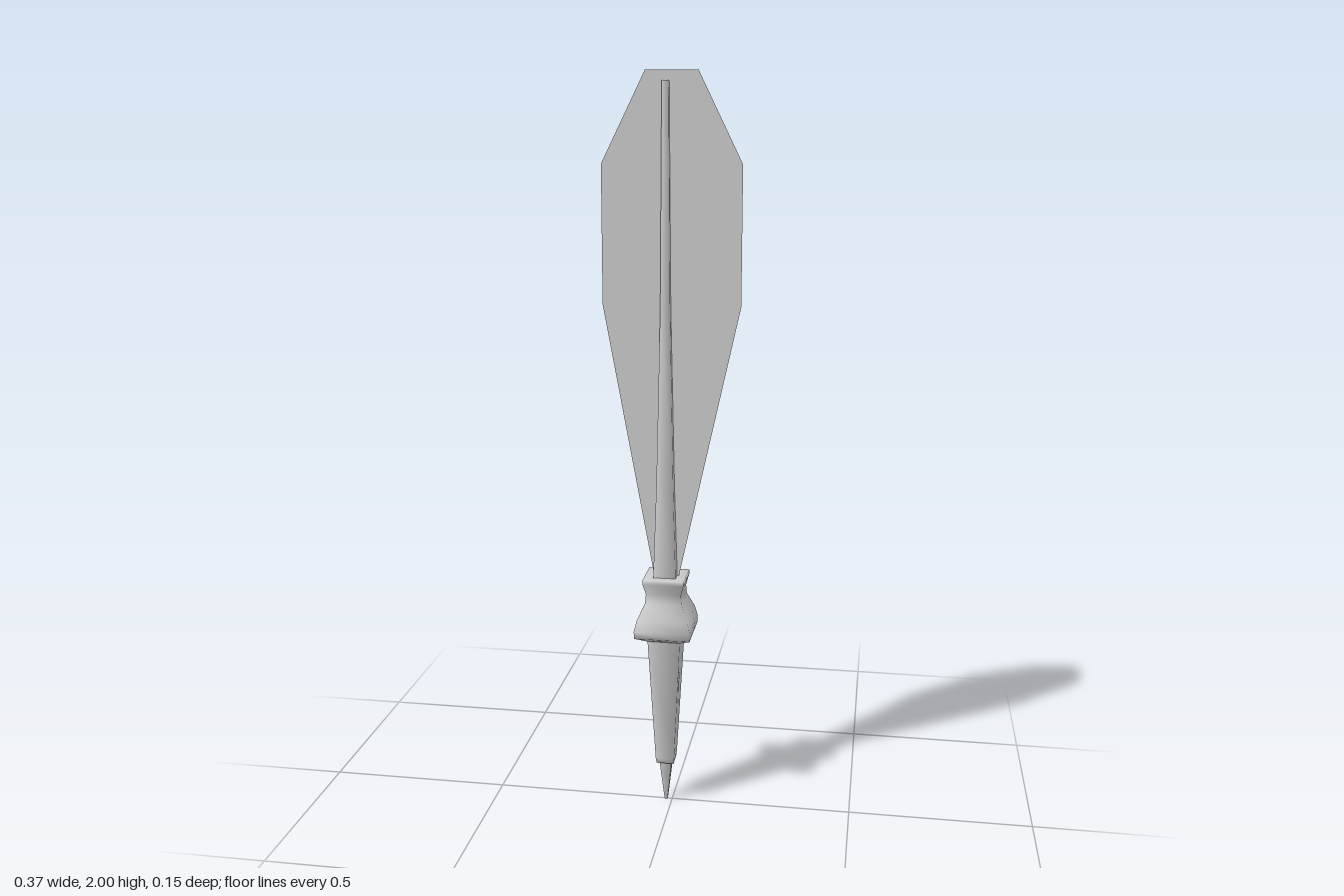
import * as THREE from 'three';

const AXIS_X = -0.017;

// Square turned part: profile of [half width, y] from bottom to top, softly shaded
function squareTurned(name, profile, material) {
  const points = profile.map(([half, y]) => new THREE.Vector2(half * Math.SQRT2, y));
  const mesh = new THREE.Mesh(new THREE.LatheGeometry(points, 4, Math.PI / 4), material);
  mesh.name = name;
  mesh.position.x = AXIS_X;
  return mesh;
}

export function createModel() {
  const group = new THREE.Group();
  group.name = 'quillPen';
  const grey = new THREE.MeshStandardMaterial({ color: 0xcccccc });
  const thin = new THREE.MeshStandardMaterial({ color: 0xcccccc, side: THREE.DoubleSide });

  // Flat feather vane
  const outline = [
    [-0.05, 0.67], [0.018, 0.67], [0.18, 1.41], [0.18, 1.77],
    [0.066, 2], [-0.07, 2], [-0.185, 1.77], [-0.185, 1.41],
  ].map(([x, y]) => new THREE.Vector2(x, y));
  const vane = new THREE.Mesh(new THREE.ShapeGeometry(new THREE.Shape(outline)), thin);
  vane.name = 'featherVane';
  group.add(vane);

  // Tapering feather shaft
  group.add(squareTurned('featherShaft', [
    [0.031, 0.66], [0.023, 0.92], [0.013, 1.4], [0.009, 1.975], [0, 1.975],
  ], grey));

  // Flared collar with a narrow neck
  group.add(squareTurned('collar', [
    [0, 0.49], [0.045, 0.492], [0.076, 0.51], [0.077, 0.53], [0.07, 0.56],
    [0.05, 0.605], [0.048, 0.63], [0.056, 0.66], [0.056, 0.672], [0.033, 0.672], [0, 0.672],
  ], grey));

  // Grip below the collar
  group.add(squareTurned('grip', [
    [0, 0.12], [0.024, 0.12], [0.026, 0.135], [0.045, 0.5],
  ], grey));

  // Pointed nib
  group.add(squareTurned('nib', [
    [0, 0], [0.004, 0], [0.009, 0.045], [0.017, 0.125],
  ], grey));

  return group;
}
